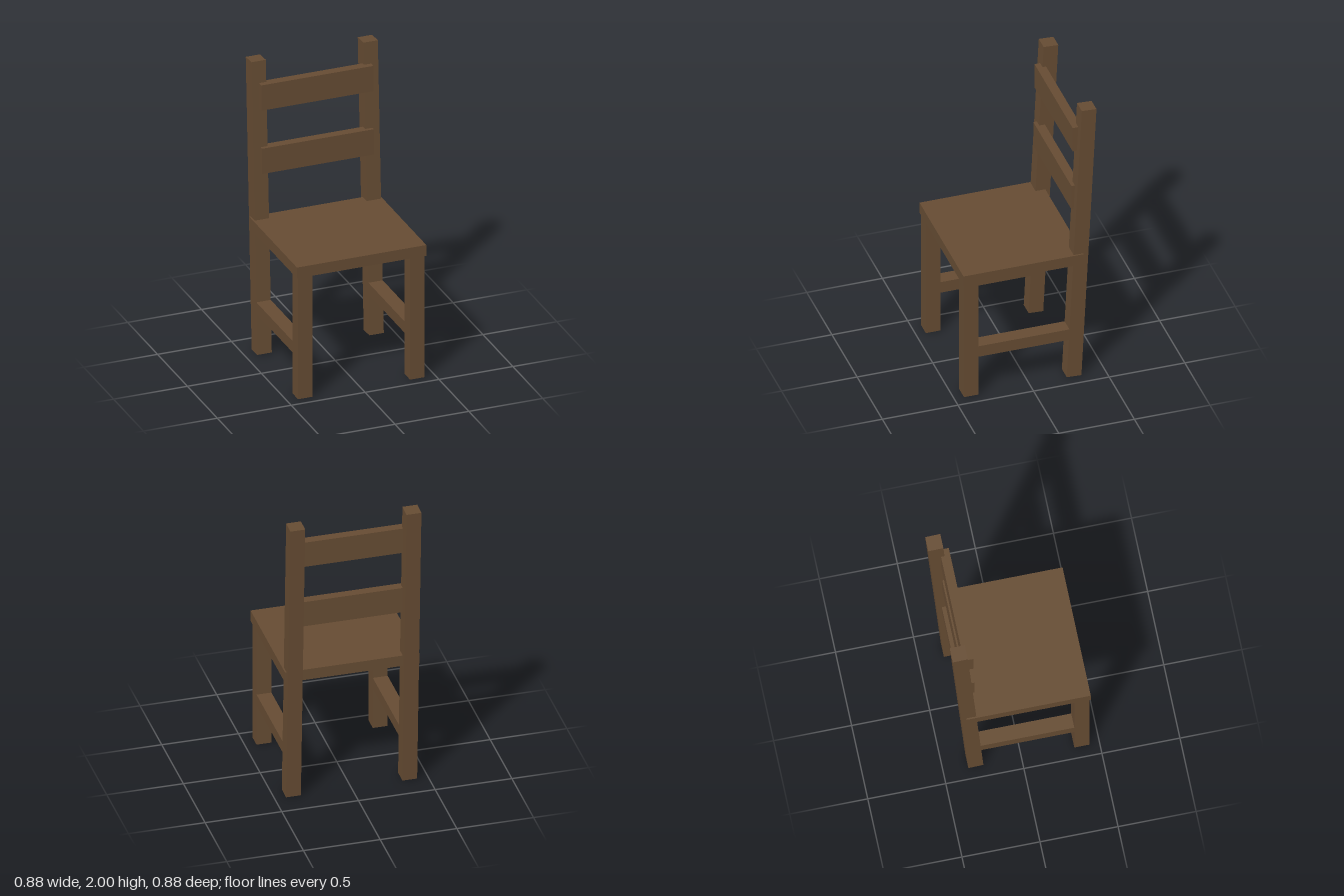
import * as THREE from 'three';

export function createModel() {
  const chair = new THREE.Group();
  chair.name = 'chair';
  const wood = new THREE.MeshStandardMaterial({ color: 0x664c33 });
  wood.name = 'brown wood';

  const board = (name, w, h, d, x, y, z) => {
    const mesh = new THREE.Mesh(new THREE.BoxGeometry(w, h, d), wood);
    mesh.name = name;
    mesh.position.set(x, y, z);
    chair.add(mesh);
    return mesh;
  };

  // Seat panel
  board('seat', 0.875, 0.075, 0.796, 0, 0.883, 0.044);

  // Legs and side stretchers, mirrored left and right
  const leg = 0.097;
  for (const [side, s] of [['left', 1], ['right', -1]]) {
    const x = s * 0.379;
    board(side + 'FrontLeg', leg, 0.846, leg, x, 0.423, 0.387);
    // Back leg leans backwards and carries the backrest
    board(side + 'BackLeg', leg, 1.994, leg, x, 1, -0.342).rotation.x = -0.05;
    board(side + 'Stretcher', leg, 0.079, 0.63, x, 0.325, 0.025);
  }

  // Upright backrest slats
  board('lowerBackSlat', 0.758, 0.176, 0.06, 0, 1.323, -0.321);
  board('upperBackSlat', 0.758, 0.176, 0.06, 0, 1.76, -0.329);

  return chair;
}
